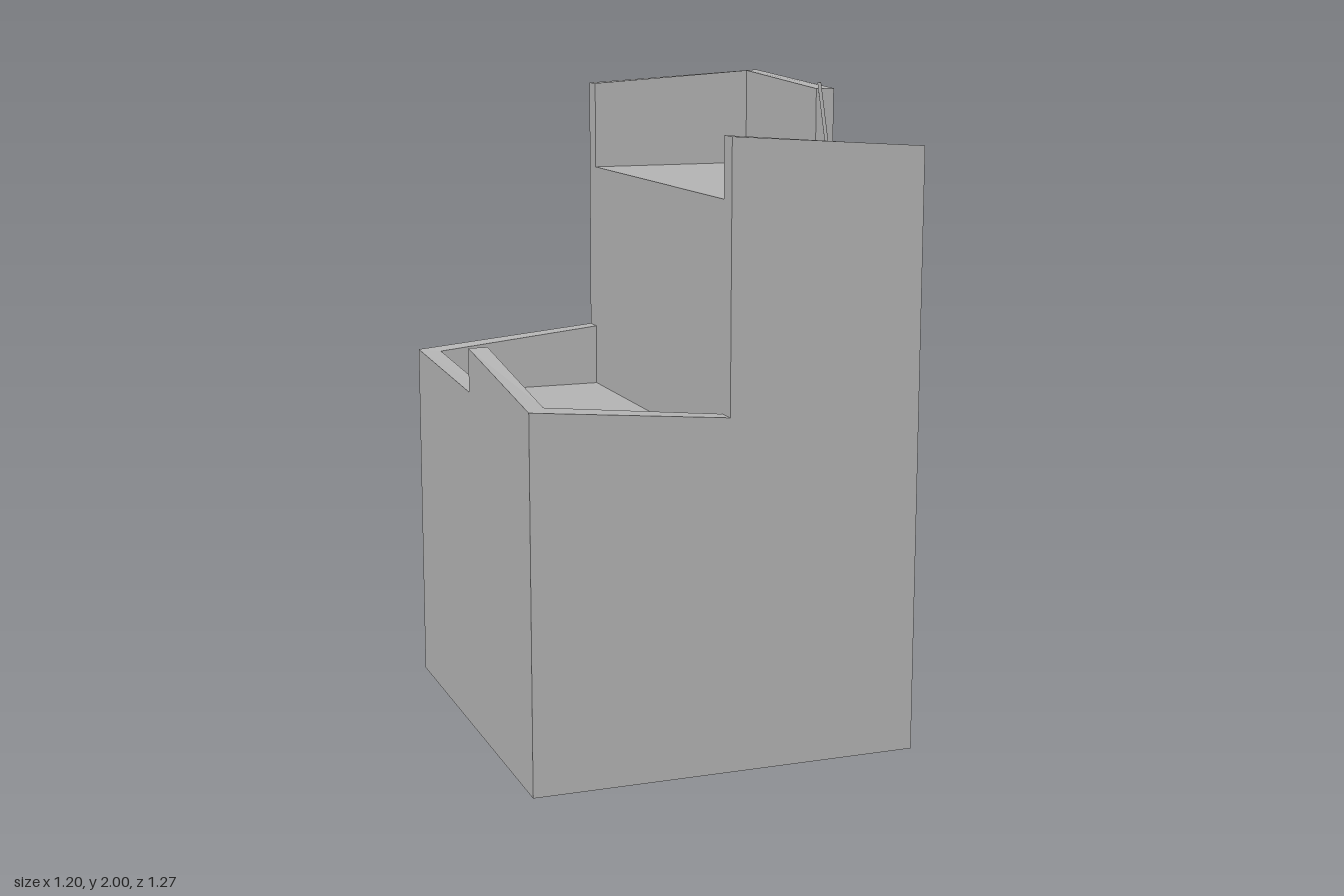
import * as THREE from 'three';

const W = 0.6, D = 0.635, T = 0.06;       // half width, half depth, parapet thickness
const LOW = 0.96, HIGH = 1.69;            // roof levels

// Rim of the parapet, counterclockwise from above: x, z, height.
// A repeated x, z with a new height makes a vertical step.
const RIM = [
  [0, D, 1.07], [0, D, 1.87], [W, D, 1.83],
  [W, 0, 1.795], [W, 0, 1.965], [W, -D, 2.0],
  [0, -D, 1.965], [0, -D, 1.155], [-W, -D, 1.1],
  [-W, 0, 1.07], [-W, 0, 1.205], [-W, D, 1.125],
];

// Flat-shaded mesh from a list of four-cornered faces
function quadMesh(name, quads, material) {
  const pos = [];
  for (const [a, b, c, d] of quads) pos.push(...a, ...b, ...c, ...a, ...c, ...d);
  const geometry = new THREE.BufferGeometry();
  geometry.setAttribute('position', new THREE.Float32BufferAttribute(pos, 3));
  geometry.computeVertexNormals();
  const mesh = new THREE.Mesh(geometry, material);
  mesh.name = name;
  return mesh;
}

// Horizontal panel
const panel = (x0, x1, z, y) => [[x0, y, z], [x1, y, z], [x1, y, -z], [x0, y, -z]];

// Point moved in by the parapet thickness
const inset = ([x, z, h]) => [
  Math.abs(x) === W ? x - Math.sign(x) * T : x,
  Math.abs(z) === D ? z - Math.sign(z) * T : z,
  h,
];
const at = ([x, z], y) => [x, y, z];

export function createModel() {
  const group = new THREE.Group();
  group.name = 'steppedBuilding';
  const grey = new THREE.MeshStandardMaterial({ color: 0xb3b3b3, side: THREE.DoubleSide });
  grey.name = 'plain grey';

  // Outer walls, parapet top with steps, and parapet inner faces
  const outer = [], cap = [], inner = [];
  RIM.forEach((a, i) => {
    const b = RIM[(i + 1) % RIM.length];
    const ai = inset(a), bi = inset(b);
    cap.push([at(a, a[2]), at(b, b[2]), at(bi, b[2]), at(ai, a[2])]);
    if (a[0] === b[0] && a[1] === b[1]) return;
    outer.push([at(a, 0), at(b, 0), at(b, b[2]), at(a, a[2])]);
    const floor = a[0] + b[0] > 0 ? HIGH : LOW;
    inner.push([at(bi, floor), at(ai, floor), at(ai, a[2]), at(bi, b[2])]);
  });
  group.add(quadMesh('outerWalls', outer, grey));
  group.add(quadMesh('parapetTop', cap, grey));
  group.add(quadMesh('parapetInside', inner, grey));

  // Two flat roofs and the wall between them
  const zi = D - T;
  group.add(quadMesh('lowerRoof', [panel(-W + T, 0, zi, LOW)], grey));
  group.add(quadMesh('upperRoof', [panel(0, W - T, zi, HIGH)], grey));
  group.add(quadMesh('dividingWall', [
    [[0, LOW, -zi], [0, LOW, zi], [0, HIGH, zi], [0, HIGH, -zi]],
  ], grey));

  // Thin leaning rod in the parapet gap
  const foot = new THREE.Vector3(0.564, 1.797, 0.031);
  const tip = new THREE.Vector3(0.542, 1.985, 0.017);
  const axis = tip.clone().sub(foot);
  const rod = new THREE.Mesh(new THREE.CylinderGeometry(0.006, 0.006, axis.length(), 8), grey);
  rod.name = 'leaningRod';
  rod.position.copy(foot).add(tip).multiplyScalar(0.5);
  rod.quaternion.setFromUnitVectors(new THREE.Vector3(0, 1, 0), axis.normalize());
  group.add(rod);

  return group;
}
